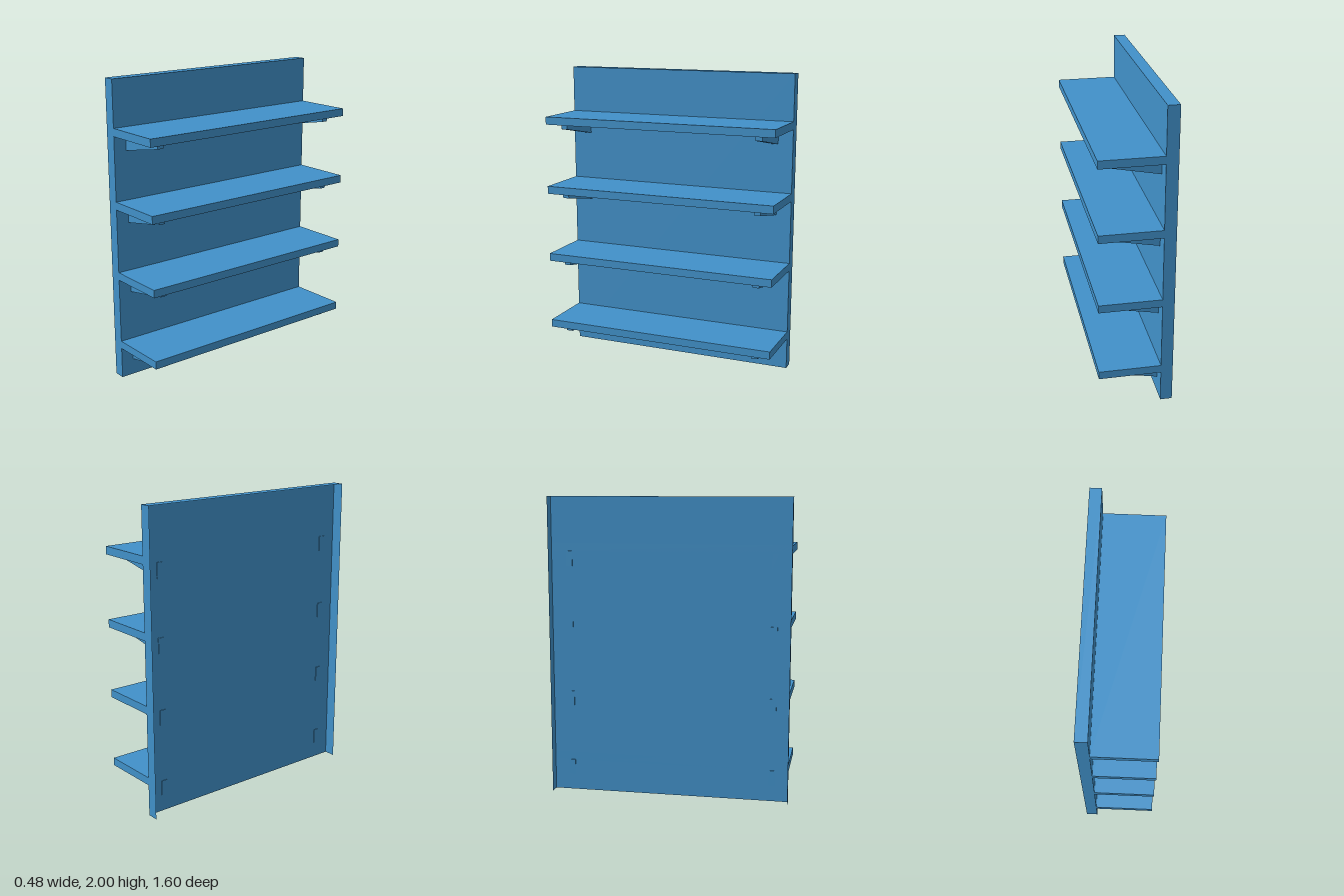
import * as THREE from 'three';

const HALF = 0.8;      // half width along z
const BACK = -0.24;    // rear edge of the panel flanges
const FACE = -0.163;   // face of the panel
const FRONT = 0.24;    // front edge of the shelves

export function createModel() {
  const group = new THREE.Group();
  const blue = new THREE.MeshStandardMaterial({ color: 0x4191c9, flatShading: true });
  const sheet = new THREE.MeshStandardMaterial({ color: 0x4191c9, flatShading: true, side: THREE.DoubleSide });

  const add = (name, geometry, material, x, y, z, parent = group) => {
    const mesh = new THREE.Mesh(geometry, material);
    mesh.name = name;
    mesh.position.set(x, y, z);
    parent.add(mesh);
    return mesh;
  };

  // Folded back panel: face, top and two side flanges, open behind and below
  const panel = new THREE.Group();
  panel.name = 'backPanel';
  group.add(panel);
  const depth = FACE - BACK;
  const midX = (FACE + BACK) / 2;
  add('panelFace', new THREE.PlaneGeometry(2 * HALF, 2).rotateY(Math.PI / 2), sheet, FACE, 1, 0, panel);
  add('panelTop', new THREE.PlaneGeometry(depth, 2 * HALF).rotateX(-Math.PI / 2), sheet, midX, 2, 0, panel);
  add('panelLeftFlange', new THREE.PlaneGeometry(depth, 2), sheet, midX, 1, HALF, panel);
  add('panelRightFlange', new THREE.PlaneGeometry(depth, 2).rotateY(Math.PI), sheet, midX, 1, -HALF, panel);

  // Tapered bracket profile, hanging below y = 0 and just piercing the panel
  const root = FACE - 0.005;
  const profile = new THREE.Shape();
  profile.moveTo(root, 0);
  profile.lineTo(root, -0.1);
  profile.lineTo(FACE, -0.1);
  profile.lineTo(0.185, -0.033);
  profile.lineTo(0.185, 0);
  profile.closePath();
  const bracket = new THREE.ExtrudeGeometry(profile, { depth: 0.043, bevelEnabled: false });
  bracket.translate(0, 0, -0.0215);

  // Four shelves, each carried by two brackets
  const shelf = new THREE.BoxGeometry(FRONT - FACE, 0.052, 2 * HALF);
  for (const y of [0.21, 0.693, 1.168, 1.642]) {
    add('shelf', shelf, blue, (FRONT + FACE) / 2, y + 0.026, 0);
    for (const z of [0.691, -0.679]) add('bracket', bracket, blue, 0, y, z);
  }
  return group;
}
